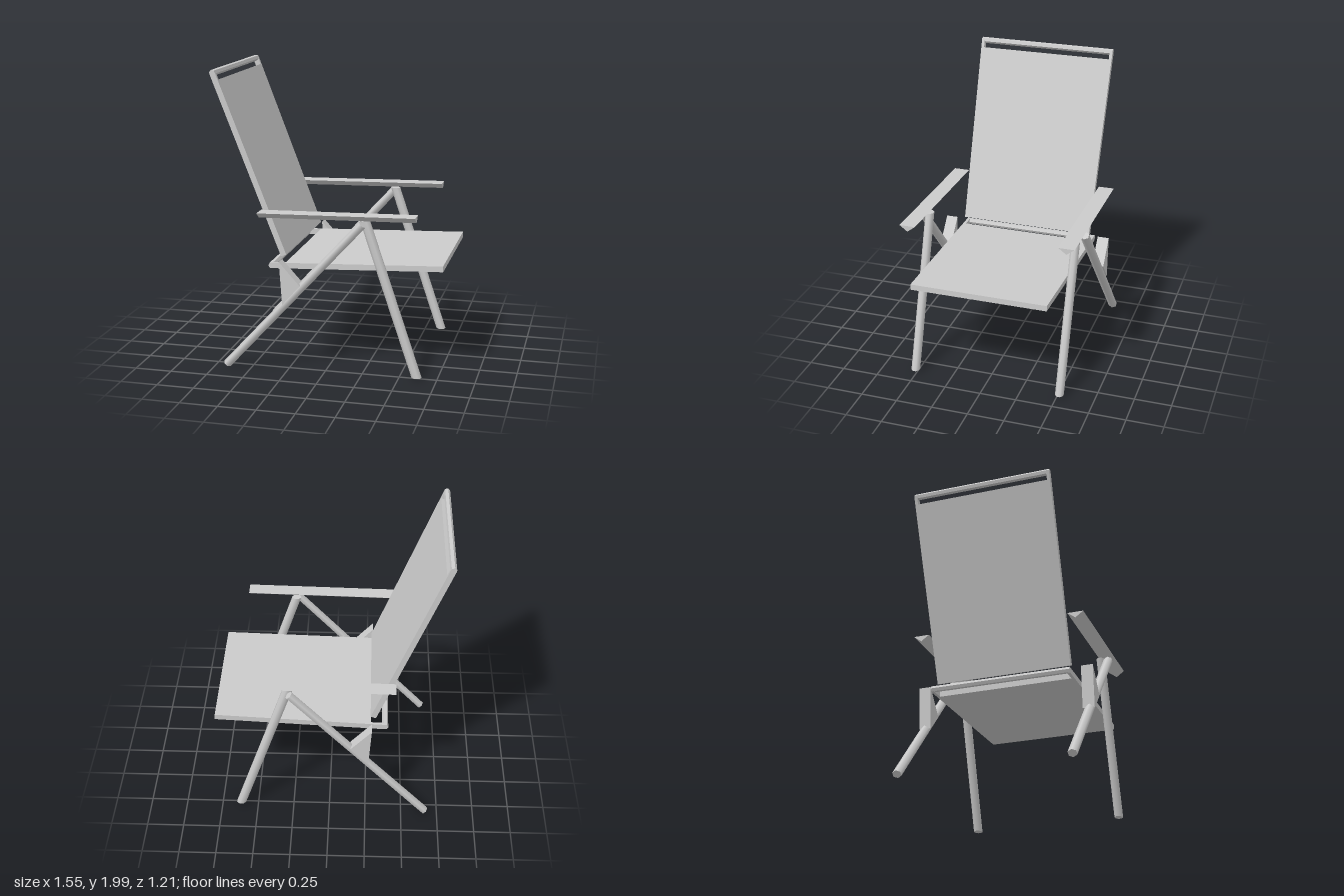
import * as THREE from 'three';

const material = new THREE.MeshStandardMaterial({ color: 0xcccccc });
const flat = new THREE.MeshStandardMaterial({ color: 0xcccccc, flatShading: true });

function add(parent, name, geometry, mat = flat) {
  const mesh = new THREE.Mesh(geometry, mat);
  mesh.name = name;
  parent.add(mesh);
  return mesh;
}

// Shape from points, extruded along z
function prism(points, depth) {
  const shape = new THREE.Shape(points.map(([x, y]) => new THREE.Vector2(x, y)));
  return new THREE.ExtrudeGeometry(shape, { depth, bevelEnabled: false });
}

// Panel with two tapered side rails and a bar across the far end.
// Local +x runs from start to end.
function panelFrame(name, start, end, panelLength) {
  const group = new THREE.Group();
  group.name = name;
  const dx = end[0] - start[0], dy = end[1] - start[1];
  const length = Math.hypot(dx, dy), thick = 0.038, half = 0.463, r = 0.021;

  const panel = new THREE.BoxGeometry(panelLength, thick, half * 2);
  add(group, name + 'Panel', panel.translate(panelLength / 2, 0, 0));

  for (const s of [1, -1]) {
    const points = [[0, half - 0.004], [length - r, half - 0.004], [length - r, 0.48], [0, half + 0.001]];
    const rail = prism(points.map(([u, v]) => [u, v * s]), thick);
    rail.rotateX(Math.PI / 2).translate(0, thick / 2, 0);
    add(group, name + 'Rail', rail);
  }

  const bar = new THREE.CylinderGeometry(r, r, 0.96, 6, 1, false, Math.PI / 2);
  add(group, name + 'Bar', bar.rotateX(Math.PI / 2).translate(length - r, 0, 0));

  group.position.set(start[0], start[1], 0);
  group.rotation.z = Math.atan2(dy, dx);
  return group;
}

function createSide(s) {
  const side = new THREE.Group();
  side.name = s > 0 ? 'nearSide' : 'farSide';

  // Rear leg: six-sided pole with square-cut ends
  const foot = new THREE.Vector2(-0.665, 0.026), head = new THREE.Vector2(0.262, 1.043);
  const run = head.clone().sub(foot);
  const rear = new THREE.CylinderGeometry(0.028, 0.028, run.length(), 6, 1, false, Math.PI / 2);
  rear.scale(1, 1, 1.12);
  rear.rotateZ(run.angle() - Math.PI / 2);
  rear.translate((foot.x + head.x) / 2, (foot.y + head.y) / 2, 0.569 * s);
  add(side, 'rearLeg', rear, material);

  // Front leg: slanted pole with level ends
  const height = 1.04;
  const front = new THREE.CylinderGeometry(0.034, 0.034, height, 8, 1, false, Math.PI / 8);
  front.scale(1, 1, 0.87);
  const shear = new THREE.Matrix4().makeShear(0, 0, -0.35 / height, 0, 0, 0);
  // Lean the pole forward at the foot
  shear.set(1, -0.35 / height, 0, 0, 0, 1, 0, 0, 0, 0, 1, 0, 0, 0, 0, 1);
  front.applyMatrix4(shear).translate(0.443, 0.02 + height / 2, 0.515 * s);
  add(side, 'frontLeg', front, material);

  // Armrest: wide flat top tapering to a keel below
  const arm = prism([[-0.054, 0.02], [0, -0.02], [0.054, 0.02]], 1.045);
  arm.translate(0, 0, -1.045 / 2).rotateY(Math.PI / 2).rotateZ(0.021);
  add(side, 'armrest', arm.translate(0.086, 1.076, 0.54 * s));

  // Triangular bracket carrying the seat
  const bracket = prism([[-0.285, 0.77], [-0.265, 0.48], [-0.145, 0.615]], 0.08);
  add(side, 'seatBracket', bracket.translate(0, 0, s > 0 ? 0.526 : -0.606));
  return side;
}

export function createModel() {
  const chair = new THREE.Group();
  chair.name = 'foldingChair';
  chair.add(panelFrame('seat', [0.772, 0.752], [-0.395, 0.707], 1.05));
  chair.add(panelFrame('backrest', [-0.293, 0.777], [-0.764, 1.993], 1.23));
  chair.add(createSide(1), createSide(-1));
  return chair;
}
